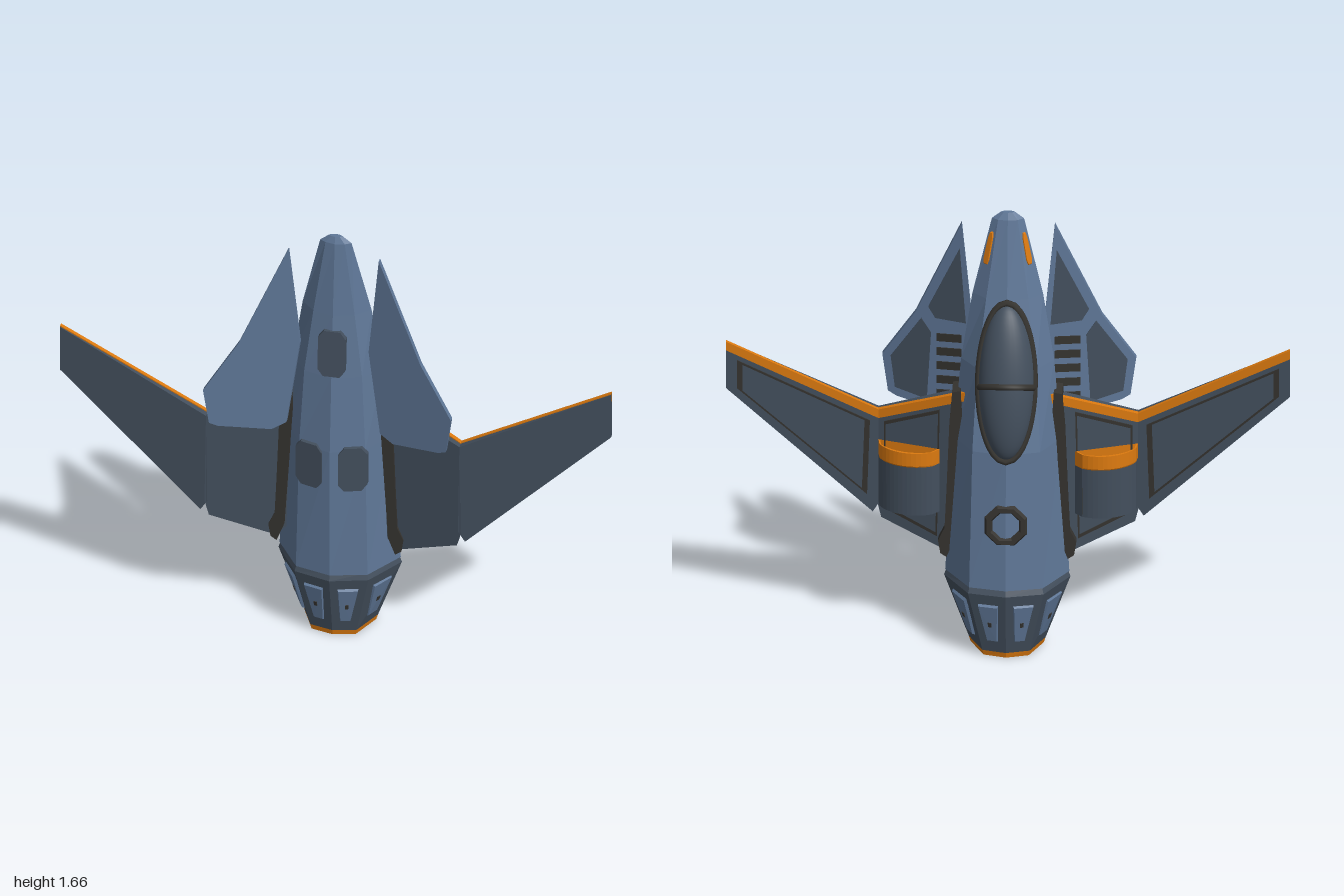
import * as THREE from 'three';
import { ConvexGeometry } from 'three/addons/geometries/ConvexGeometry.js';

const paint = (name, color) => {
  const m = new THREE.MeshStandardMaterial({ color });
  m.name = name;
  return m;
};

export function createModel() {
  const root = new THREE.Group();
  root.name = 'starfighter';
  const hull = paint('hullBlue', 0x5f7797);
  const slate = paint('darkSlate', 0x434f5d);
  const trim = paint('darkTrim', 0x35332f);
  const orange = paint('orange', 0xdb790f);
  const black = paint('engineBlack', 0x1b1f24);

  const add = (name, geo, mat) => {
    const m = new THREE.Mesh(geo, mat);
    m.name = name;
    root.add(m);
    return m;
  };

  // Flat-shaded skin over rings of [x, y, z] points, counterclockwise seen from above
  const loft = (rings, capTop = false) => {
    const p = [], n = rings[0].length;
    for (let j = 0; j < rings.length - 1; j++) {
      for (let i = 0; i < n; i++) {
        const k = (i + 1) % n;
        const a = rings[j][i], b = rings[j][k], c = rings[j + 1][k], d = rings[j + 1][i];
        p.push(...a, ...b, ...c, ...a, ...c, ...d);
      }
    }
    const t = rings[rings.length - 1];
    if (capTop) for (let i = 1; i < n - 1; i++) p.push(...t[0], ...t[i], ...t[i + 1]);
    const g = new THREE.BufferGeometry();
    g.setAttribute('position', new THREE.Float32BufferAttribute(p, 3));
    g.computeVertexNormals();
    return g;
  };

  // Outline extruded in z, with centre depth zc(x, y) and thickness t(x)
  const slab = (pts, s, zc, t, hole) => {
    const flip = (q) => q.map(([x, y]) => new THREE.Vector2(x * s, y));
    const shape = new THREE.Shape(flip(pts));
    if (hole) shape.holes.push(new THREE.Path(flip(hole)));
    const g = new THREE.ExtrudeGeometry(shape, { depth: 1, bevelEnabled: false });
    const p = g.attributes.position;
    for (let i = 0; i < p.count; i++) {
      const x = Math.abs(p.getX(i));
      p.setZ(i, zc(x, p.getY(i)) + (p.getZ(i) - 0.5) * t(x));
    }
    g.computeVertexNormals();
    return g;
  };
  const inset = (pts, k) => {
    const cx = pts.reduce((a, q) => a + q[0], 0) / pts.length;
    const cy = pts.reduce((a, q) => a + q[1], 0) / pts.length;
    return pts.map(([x, y]) => [cx + (x - cx) * k, cy + (y - cy) * k]);
  };
  const octagon = (cx, cy, w, h) => [[-1, -0.7], [-0.6, -1], [0.6, -1], [1, -0.7], [1, 0.7], [0.6, 1], [-0.6, 1], [-1, 0.7]]
    .map(([x, y]) => [cx + x * w, cy + y * h]);

  // Eight-sided fuselage section
  const section = (y, w, a, zf, zfa, zm, zba, zb) => [
    [0, y, zf], [a, y, zfa], [w, y, zm], [a, y, zba], [0, y, zb], [-a, y, zba], [-w, y, zm], [-a, y, zfa]];
  const body = [
    section(0.28, 0.22, 0.13, 0.152, 0.118, -0.02, -0.165, -0.193),
    section(0.8, 0.19, 0.12, 0.15, 0.11, -0.01, -0.13, -0.16),
    section(1.1, 0.165, 0.105, 0.125, 0.095, 0.01, -0.075, -0.095),
    section(1.35, 0.125, 0.075, 0.1, 0.08, 0.03, -0.02, -0.035),
    section(1.635, 0.057, 0.035, 0.07, 0.063, 0.05, 0.033, 0.028),
    section(1.66, 0.025, 0.015, 0.06, 0.057, 0.05, 0.043, 0.04)];
  add('fuselage', loft(body, true), hull);

  // Thin raised plate on one facet between two sections
  const facetPlate = (lo, hi, f, uv, h) => {
    const v = (q) => new THREE.Vector3(...q);
    const a = v(lo[f]), b = v(lo[(f + 1) % 8]), c = v(hi[f]), d = v(hi[(f + 1) % 8]);
    const n = b.clone().sub(a).cross(c.clone().sub(a)).normalize();
    const at = (u, w, o) => a.clone().lerp(b, u).lerp(c.clone().lerp(d, u), w).addScaledVector(n, o);
    return new ConvexGeometry([...uv.map(([u, w]) => at(u, w, -0.004)),
      ...inset(uv, 0.9).map(([u, w]) => at(u, w, h))]);
  };

  // Tail cone, orange nozzle lip and hollow engine
  const tailTop = section(0.285, 0.215, 0.128, 0.15, 0.116, -0.02, -0.162, -0.19);
  const tailRim = section(0.26, 0.224, 0.134, 0.16, 0.122, -0.02, -0.172, -0.202);
  const tailLow = section(0.02, 0.136, 0.084, 0.109, 0.088, -0.025, -0.136, -0.159);
  const lip = section(0, 0.13, 0.08, 0.105, 0.085, -0.025, -0.132, -0.155);
  const scaled = (ring, k, y) => ring.map(([x, , z]) => [x * k, y, -0.025 + (z + 0.025) * k]);
  add('tailCone', loft([tailLow, tailRim, tailTop]), slate);
  add('nozzleLip', loft([scaled(lip, 0.82, 0.02), scaled(lip, 0.82, 0), lip, tailLow]), orange);
  add('nozzleInterior', loft([scaled(lip, 0.01, 0.14), scaled(lip, 0.8, 0.14), scaled(lip, 0.83, 0.015)]), black);
  for (let i = 0; i < 8; i++) {
    const g = new THREE.BoxGeometry(0.006, 0.1, 0.045).translate(0, 0.075, 0.075);
    g.rotateY(i * Math.PI / 4 + 0.2).translate(0, 0, -0.025);
    add('nozzleVane', g, trim);
    add('tailPanel', facetPlate(tailLow, tailRim, i, [[0.3, 0.18], [0.7, 0.18], [0.8, 0.84], [0.2, 0.84]], 0.008), hull);
    add('tailPanelLatch', facetPlate(tailLow, tailRim, i, [[0.44, 0.46], [0.56, 0.46], [0.56, 0.54], [0.44, 0.54]], 0.011), trim);
  }

  // Nose lights
  for (const f of [2, 5]) {
    add('noseLight', facetPlate(body[3], body[4], f, octagon(0.5, 0.62, 0.26, 0.22), 0.005), orange);
  }

  // Canopy with frame and cross band
  const canopy = new THREE.Group();
  canopy.name = 'canopy';
  canopy.position.set(0, 1.06, -0.098);
  canopy.rotation.x = 0.215;
  root.add(canopy);
  const glass = new THREE.Mesh(new THREE.SphereGeometry(1, 32, 24).scale(0.1, 0.285, 0.082), slate);
  glass.name = 'canopyGlass';
  const arc = (name, fn, a0, a1, closed) => {
    const pts = [];
    for (let i = 0; i < 24; i++) pts.push(fn(a0 + (a1 - a0) * i / (closed ? 24 : 23)));
    const curve = new THREE.CatmullRomCurve3(pts, closed);
    const m = new THREE.Mesh(new THREE.TubeGeometry(curve, 48, 0.013, 6, closed), trim);
    m.name = name;
    canopy.add(m);
    return m;
  };
  canopy.add(glass);
  arc('canopyFrame', (a) => new THREE.Vector3(0.1 * Math.cos(a), 0.29 * Math.sin(a), -0.008), 0, 2 * Math.PI, true);
  arc('canopyBand', (a) => new THREE.Vector3(0.096 * Math.cos(a), -0.02 + 0.02 * Math.sin(a), -0.077 * Math.sin(a)), 0, Math.PI, false);

  // Octagonal hatch ring on the back
  const hatch = add('hatchRing', new THREE.TorusGeometry(0.066, 0.016, 6, 8).toNonIndexed(), trim);
  hatch.geometry.computeVertexNormals();
  hatch.position.set(0, 0.53, -0.172);
  hatch.rotation.set(0.06, 0, Math.PI / 8);

  // Belly panel near the nose
  add('bellyPanel', slab(octagon(0, 1.2, 0.05, 0.09), 1, (x, y) => 0.107 - 0.1 * (y - 1.2), () => 0.03), slate);

  // Wing outlines and depths
  const innerPts = [[0.15, 0.98], [0.46, 0.86], [0.465, 0.5], [0.45, 0.44], [0.22, 0.35], [0.17, 0.4]];
  const outerPts = [[0.46, 0.86], [1, 1.13], [1, 0.95], [0.48, 0.46], [0.455, 0.5]];
  const inZ = (x) => 0.01 + (x - 0.2) * 0.288, inT = (x) => 0.05 - (x - 0.2) * 0.058;
  const outZ = (x) => 0.085 - (x - 0.46) * 0.065, outT = (x) => 0.035 - (x - 0.46) * 0.037;
  const back = (z, t, o) => (x) => z(x) - t(x) / 2 - o;
  const thin = (t) => () => t;

  // Fin outline and depth
  const finPts = [[0.165, 1.6], [0.33, 1.22], [0.45, 1.03], [0.43, 0.89], [0.4, 0.875], [0.22, 0.845], [0.17, 0.87], [0.125, 1.2]];
  const finZ = (x) => 0.082 + 0.36 * (x - 0.165), finT = thin(0.022);

  // Arched engine scoop section, k shrinks it for the inner wall
  const archPoint = (t, h) => {
    const r = h * Math.pow(Math.max(0, Math.sin(Math.PI * t)), 0.5);
    return [0.46 - 0.22 * t + 0.3 * r, 0.067 - 0.072 * t - 0.95 * r];
  };
  const arch = (y, s, h, m) => {
    const ring = [];
    for (let i = 0; i <= 14; i++) {
      const [x, z] = archPoint(m + (1 - 2 * m) * (i / 14), i % 14 ? h : 0);
      ring.push([x * s, y, z]);
    }
    return s > 0 ? ring : ring.reverse();
  };

  for (const s of [1, -1]) {
    // Belly panels
    add('bellyPanel', slab(octagon(0.08, 0.73, 0.05, 0.09), s, (x) => 0.151 - 0.3 * x, thin(0.02)), slate);

    // Cranked wing with orange leading edge and panel lines
    add('innerWing', slab(innerPts, s, inZ, inT), slate);
    add('outerWing', slab(outerPts, s, outZ, outT), slate);
    add('innerLeadingEdge', slab([[0.15, 0.984], [0.46, 0.864], [0.46, 0.83], [0.15, 0.95]], s, back(inZ, inT, -0.005), thin(0.018)), orange);
    add('outerLeadingEdge', slab([[0.46, 0.864], [1, 1.134], [1, 1.1], [0.46, 0.83]], s, back(outZ, outT, -0.004), thin(0.015)), orange);
    const outerPanel = [[0.49, 0.82], [0.96, 1.06], [0.96, 0.95], [0.5, 0.53]];
    add('outerPanelLine', slab(outerPanel, s, back(outZ, outT, 0.001), thin(0.006), inset(outerPanel, 0.92)), trim);
    const innerPanel = [[0.24, 0.9], [0.44, 0.82], [0.44, 0.48], [0.25, 0.4]];
    add('innerPanelLine', slab(innerPanel, s, back(inZ, inT, 0.001), thin(0.006), inset(innerPanel, 0.94)), trim);

    // Fairing around the wing root
    add('wingRoot', slab([[0.165, 0.99], [0.195, 0.985], [0.205, 0.86], [0.215, 0.6], [0.222, 0.45], [0.245, 0.4],
      [0.237, 0.35], [0.215, 0.335], [0.19, 0.4], [0.16, 0.9]], s, thin(0.008), thin(0.088)), trim);

    // Engine scoop: hollow arch with orange mouth and slats
    add('scoopBody', loft([arch(0.69, s, 0.062, 0.03), arch(0.5, s, 0.062, 0.03), arch(0.5, s, 0.07, 0), arch(0.695, s, 0.072, 0)]), slate);
    add('scoopMouth', loft([arch(0.69, s, 0.073, 0), arch(0.695, s, 0.076, 0), arch(0.745, s, 0.074, 0), arch(0.745, s, 0.064, 0.03), arch(0.685, s, 0.063, 0.03)]), orange);
    for (let i = 1; i < 11; i++) {
      const t = i / 11;
      const [x0, z0] = archPoint(t, 0), [x1, z1] = archPoint(t, 0.066);
      const g = new THREE.BoxGeometry(0.006, 0.2, Math.hypot(x1 - x0, z1 - z0));
      g.rotateY(s * Math.atan2(x1 - x0, z1 - z0));
      add('scoopSlat', g.translate(s * (x0 + x1) / 2, 0.61, (z0 + z1) / 2), trim);
    }

    // Forward fin with dark panels and vents on its back
    add('fin', slab(finPts, s, finZ, finT), hull);
    const finBack = back(finZ, finT, 0.001);
    add('finUpperPanel', slab([[0.172, 1.5], [0.285, 1.25], [0.26, 1.21], [0.15, 1.21]], s, finBack, thin(0.006)), slate);
    add('finLowerPanel', slab([[0.31, 1.2], [0.42, 1.03], [0.405, 0.91], [0.29, 0.885], [0.275, 1.15]], s, finBack, thin(0.006)), slate);
    for (let i = 0; i < 5; i++) {
      const y = 1.16 - i * 0.055;
      add('finVent', slab([[0.165, y], [0.255, y - 0.01], [0.255, y - 0.04], [0.165, y - 0.03]], s, finBack, thin(0.006)), trim);
    }
  }

  return root;
}
